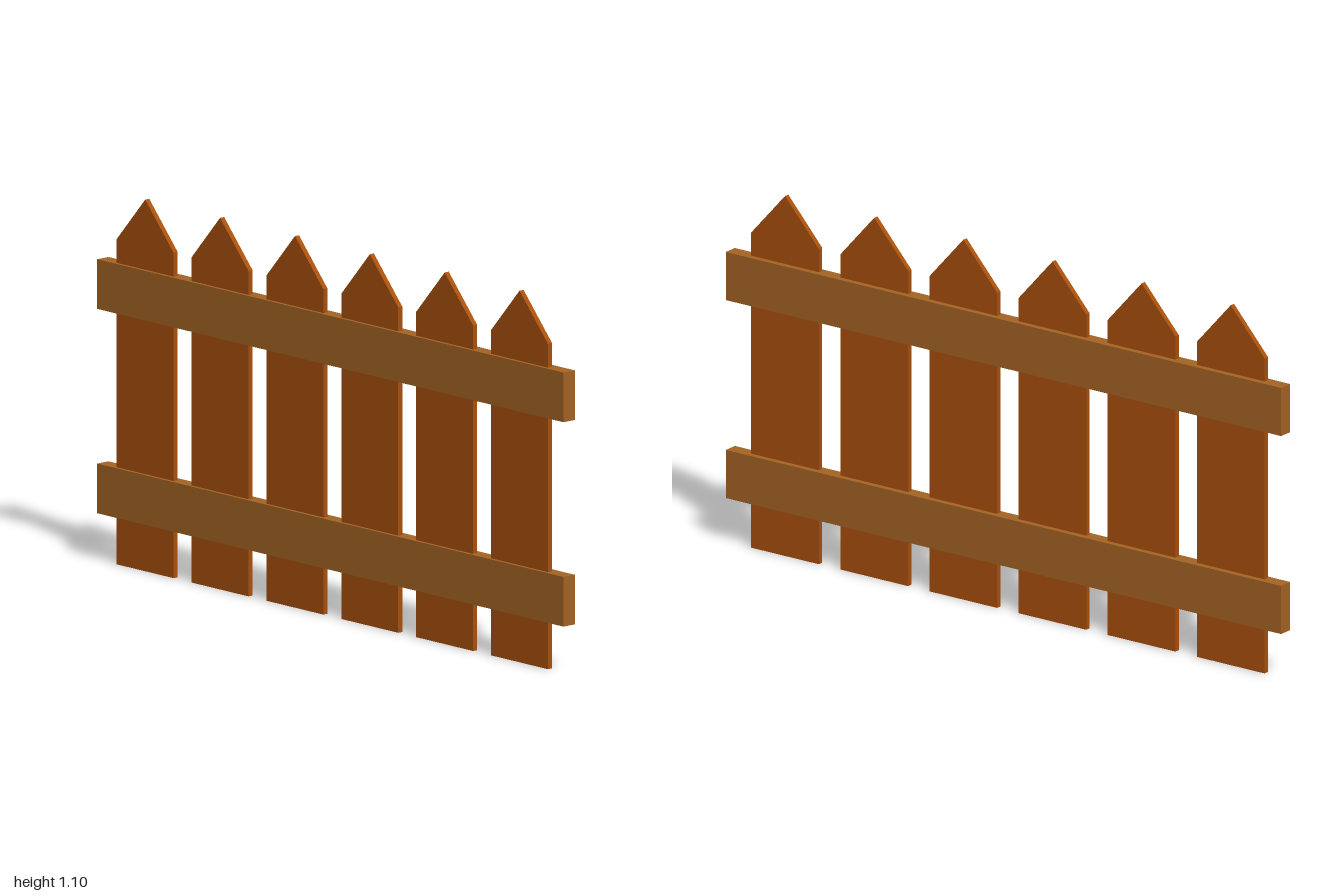
import * as THREE from 'three';

export function createModel() {
  const fence = new THREE.Group();
  fence.name = 'picketFence';

  const picketMaterial = new THREE.MeshStandardMaterial({ color: 0xaa500c, flatShading: true });
  const railMaterial = new THREE.MeshStandardMaterial({ color: 0xa66424, flatShading: true });

  // Pickets: flat boards with pointed tops
  const halfWidth = 0.122, shoulder = 0.963, tip = 1.1, thickness = 0.016;
  const outline = new THREE.Shape([
    new THREE.Vector2(-halfWidth, 0),
    new THREE.Vector2(halfWidth, 0),
    new THREE.Vector2(halfWidth, shoulder),
    new THREE.Vector2(0, tip),
    new THREE.Vector2(-halfWidth, shoulder),
  ]);
  const picketGeometry = new THREE.ExtrudeGeometry(outline, { depth: thickness, bevelEnabled: false });
  picketGeometry.translate(0, 0, -0.004);
  for (let i = 0; i < 6; i++) {
    const picket = new THREE.Mesh(picketGeometry, picketMaterial);
    picket.name = `picket${i + 1}`;
    picket.position.x = -0.805 + i * 0.321;
    fence.add(picket);
  }

  // Rails: two horizontal beams enclosing the pickets
  const railGeometry = new THREE.BoxGeometry(2, 0.147, 0.044);
  for (const [name, y] of [['lowerRail', 0.214], ['upperRail', 0.819]]) {
    const rail = new THREE.Mesh(railGeometry, railMaterial);
    rail.name = name;
    rail.position.y = y;
    fence.add(rail);
  }

  return fence;
}
